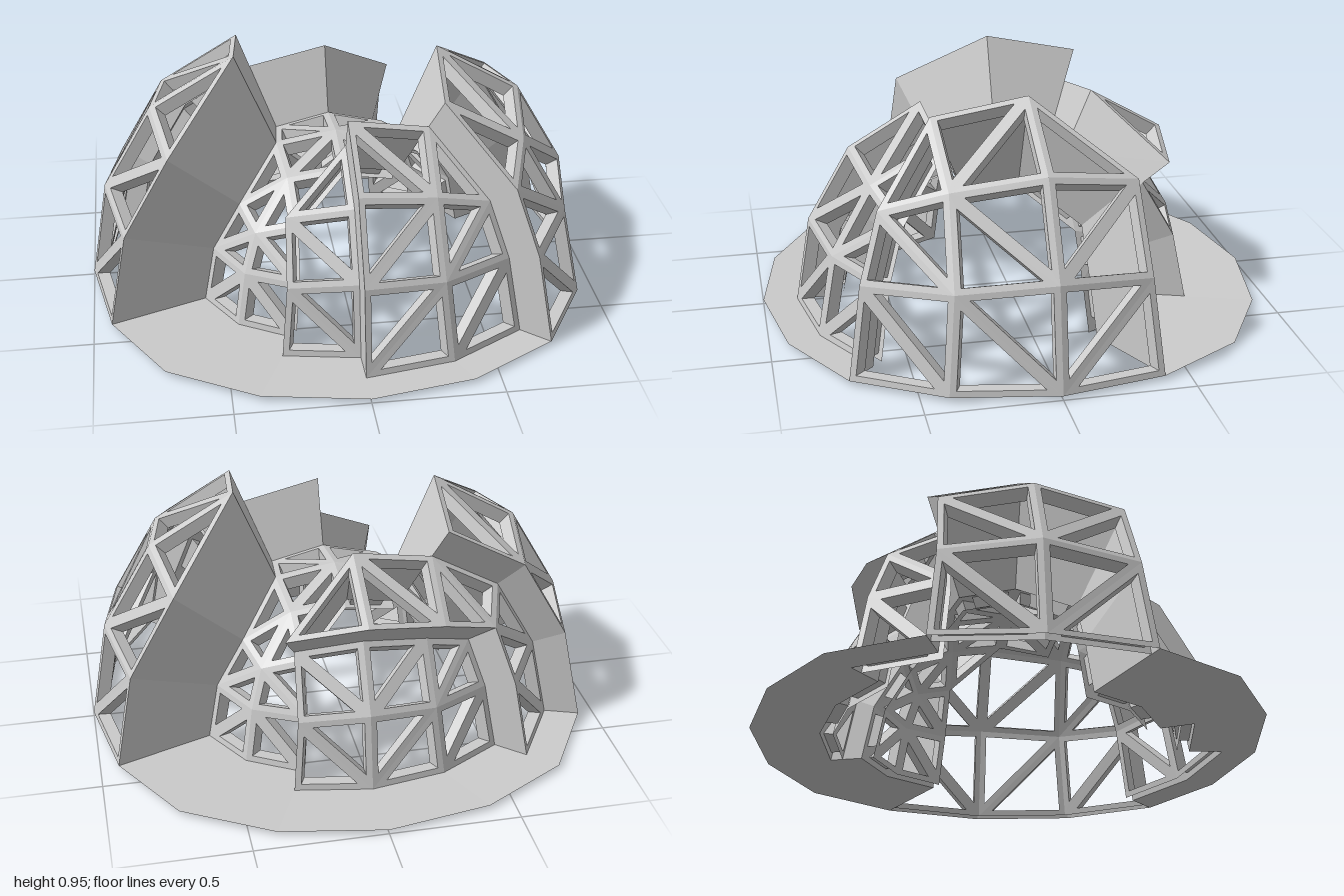
import * as THREE from 'three';

// Radii of the four shell levels
const R1 = 1, R2 = 0.865, R3 = 0.73, R4 = 0.6;
const STRUT = 0.024, DEPTH = 0.05;

// Dome node coordinates by kind: grid step on the cube face -> distance from the centre
const NODES = {
  '200': [0, 0, 1], '210': [0, 0.4, 0.93], '220': [0, 0, 0.735],
  '211': [0, 0.365, 0.86], '221': [0, 0.35, 0.68], '222': [0, 0, 0.6],
};

// Place a cube grid node on the dome shell of radius r
function place(n, r) {
  const key = n.map(Math.abs).sort((a, b) => b - a).join('');
  const p = n.map((v) => Math.sign(v) * NODES[key][Math.abs(v)]);
  return new THREE.Vector3(p[0] * r, r * (p[1] + 0.0375) - 0.0225, p[2] * r);
}

// Shell level of a triangle, from its face axis and its centre on the cube grid
function levelOf(axis, [x, y, z]) {
  if (axis === 0) {
    if (x > 0) return z > -1 ? R1 : R4;
    return z > 1 ? R4 : z > -1 ? R1 : R2;
  }
  if (axis === 2) {
    if (z > 0) return x > 0 ? R2 : x > -1 ? R3 : R4;
    return x < 1 ? R3 : R4;
  }
  if (x > 1 && x + z > 1 && x > z) return R1;
  if (x < -1 && z > -1 && x + z < -1) return R1;
  if (z > 1 && x > 0) return R2;
  if (z > 1 && x + z > 1) return R3;
  if (z < -1 && x + z < -1) return R2;
  return R4;
}

// All triangles of the upper half dome; diagonals run outward from each face centre
function domeTriangles() {
  const tris = [];
  for (const [axis, side] of [[1, 1], [0, 1], [0, -1], [2, 1], [2, -1]]) {
    const node = (i, j) => {
      const n = [0, 0, 0];
      n[axis] = 2 * side;
      n[(axis + 1) % 3] = i;
      n[(axis + 2) % 3] = j;
      return n;
    };
    for (const si of [-1, 1]) for (const sj of [-1, 1])
      for (const a of [0, 1]) for (const b of [0, 1]) {
        const near = node(si * a, sj * b), far = node(si * (a + 1), sj * (b + 1));
        const m1 = node(si * (a + 1), sj * b), m2 = node(si * a, sj * (b + 1));
        for (let t of [[near, m1, far], [near, far, m2]]) {
          if (t.some((n) => n[1] < 0)) continue;
          const c = [0, 1, 2].map((k) => (t[0][k] + t[1][k] + t[2][k]) / 3);
          if (si * sj * side < 0) t = [t[0], t[2], t[1]]; // keep outward order
          tris.push({ nodes: t, level: levelOf(axis, c) });
        }
      }
  }
  return tris;
}

function pushQuad(out, a, b, c, d) {
  for (const p of [a, b, c, a, c, d]) out.push(p.x, p.y, p.z);
}

// Shrink a triangle so every side moves inward by w
function inset([a, b, c], w) {
  const la = b.distanceTo(c), lb = c.distanceTo(a), lc = a.distanceTo(b);
  const s = la + lb + lc;
  const centre = new THREE.Vector3()
    .addScaledVector(a, la / s).addScaledVector(b, lb / s).addScaledVector(c, lc / s);
  const area = b.clone().sub(a).cross(c.clone().sub(a)).length() / 2;
  const t = w / ((2 * area) / s);
  return [a, b, c].map((p) => p.clone().lerp(centre, t));
}

// One open triangular frame of struts
function pushFrame(out, { nodes, level }) {
  const o = nodes.map((n) => place(n, level));
  const p = nodes.map((n) => place(n, level - DEPTH));
  const i = inset(o, STRUT), j = inset(p, STRUT);
  for (let k = 0; k < 3; k++) {
    const m = (k + 1) % 3;
    pushQuad(out, o[k], o[m], i[m], i[k]);
    pushQuad(out, i[k], i[m], j[m], j[k]);
    pushQuad(out, j[k], j[m], p[m], p[k]);
  }
}

export function createModel() {
  const group = new THREE.Group();
  const material = new THREE.MeshStandardMaterial({
    color: 0xcccccc, flatShading: true, side: THREE.DoubleSide,
  });
  const add = (name, positions) => {
    const g = new THREE.BufferGeometry();
    g.setAttribute('position', new THREE.Float32BufferAttribute(positions, 3));
    g.computeVertexNormals();
    const mesh = new THREE.Mesh(g, material);
    mesh.name = name;
    group.add(mesh);
  };
  const tris = domeTriangles();

  // Strut frames, one mesh per shell level
  const names = { [R1]: 'outerFrame', [R2]: 'upperMiddleFrame', [R3]: 'lowerMiddleFrame', [R4]: 'innerFrame' };
  for (const level of [R1, R2, R3, R4]) {
    const out = [];
    tris.filter((t) => t.level === level).forEach((t) => pushFrame(out, t));
    add(names[level], out);
  }

  // Solid step walls where two levels meet, and the flat ring at the foot
  const walls = [], ring = [], edges = new Map();
  for (const { nodes, level } of tris)
    for (let k = 0; k < 3; k++) {
      const a = nodes[k], b = nodes[(k + 1) % 3];
      const key = [a.join(), b.join()].sort().join('|');
      if (!edges.has(key)) edges.set(key, { a, b, levels: [] });
      edges.get(key).levels.push(level);
    }
  for (const { a, b, levels } of edges.values()) {
    const foot = levels.length === 1;
    const lo = levels[0], hi = foot ? R1 : levels[1];
    if (lo === hi) continue;
    pushQuad(foot ? ring : walls, place(b, lo), place(a, lo), place(a, hi), place(b, hi));
  }
  add('stepWalls', walls);
  add('groundRing', ring);
  return group;
}
